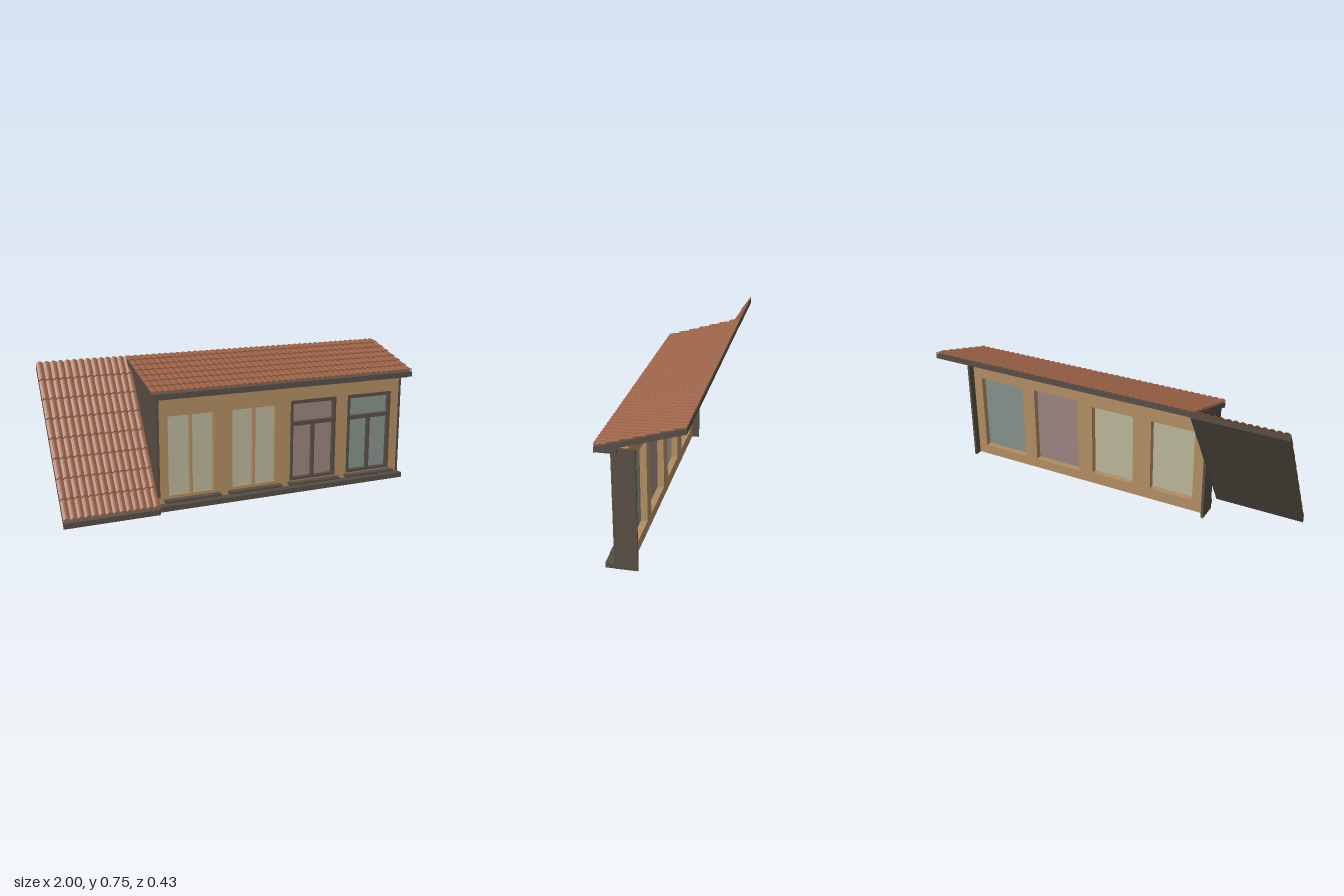
import * as THREE from 'three';

const mat = (name, color, side = THREE.FrontSide) => {
  const m = new THREE.MeshStandardMaterial({ color, side });
  m.name = name;
  return m;
};

export function createModel() {
  const root = new THREE.Group();
  root.name = 'dormer';
  const timber = mat('dark timber', 0x574d44);
  const plaster = mat('ochre plaster', 0xb08c62);
  const clay = mat('clay tile', 0x996045, THREE.DoubleSide);
  const paleGlass = mat('pale green glass', 0xb8b498);
  const mauveGlass = mat('mauve glass', 0x99827d);
  const tealGlass = mat('teal glass', 0x849089);

  const add = (name, geometry, material, parent = root) => {
    const mesh = new THREE.Mesh(geometry, material);
    mesh.name = name;
    parent.add(mesh);
    return mesh;
  };
  // Box given by its limits on each axis
  const box = (name, m, x0, x1, y0, y1, z0, z1, parent) => {
    const g = new THREE.BoxGeometry(x1 - x0, y1 - y0, z1 - z0);
    g.translate((x0 + x1) / 2, (y0 + y1) / 2, (z0 + z1) / 2);
    return add(name, g, m, parent);
  };
  // Side profile of [z, y] points extruded from x0 to x1
  const sideProfile = (name, m, pts, x0, x1, parent) => {
    const shape = new THREE.Shape(pts.map(([z, y]) => new THREE.Vector2(-z, y)));
    const g = new THREE.ExtrudeGeometry(shape, { depth: x1 - x0, bevelEnabled: false });
    g.rotateY(Math.PI / 2);
    g.translate(x0, 0, 0);
    return add(name, g, m, parent);
  };

  // One overlapping course of wavy tiles, swept across x as a thin shell
  const PITCH = 0.034, SEG = 6;
  const tileCourse = (x0, x1, a, b, gap, lift, amp) => {
    const pos = [], index = [];
    const waves = Math.round((x1 - x0) / PITCH), cols = waves * SEG;
    const ring = [[a, gap + lift * 0.25], [a, gap + lift], [b, gap], [b, gap - 0.003]];
    for (let i = 0; i <= cols; i++) {
      const x = x0 + (x1 - x0) * i / cols;
      const h = amp * Math.abs(Math.sin(Math.PI * i / SEG));
      for (const [p, o] of ring) pos.push(x, p.y + o + h, p.x);
      if (i === cols) break;
      for (let k = 0; k < 4; k++) {
        const p = i * 4 + k, q = i * 4 + (k + 1) % 4;
        index.push(p, q, p + 4, q, q + 4, p + 4);
      }
    }
    // End caps
    const e = cols * 4;
    index.push(0, 2, 1, 0, 3, 2, e, e + 1, e + 2, e, e + 2, e + 3);
    const g = new THREE.BufferGeometry();
    g.setAttribute('position', new THREE.Float32BufferAttribute(pos, 3));
    g.setIndex(index);
    const flat = g.toNonIndexed();
    flat.computeVertexNormals();
    return flat;
  };

  // Sloped slab with tile courses; front and back are [z, top y]
  const roof = (name, x0, x1, front, back, thick, courses, gap, lift, amp) => {
    const group = new THREE.Group();
    group.name = name;
    root.add(group);
    const [zf, yf] = front, [zb, yb] = back;
    sideProfile(name + 'Slab', timber, [[zf, yf - thick], [zf, yf], [zb, yb], [zb, yb - thick]], x0, x1, group);
    const start = new THREE.Vector2(zf, yf), end = new THREE.Vector2(zb, yb);
    for (let i = 0; i < courses; i++) {
      const a = start.clone().lerp(end, i / courses);
      const b = start.clone().lerp(end, Math.min(1, (i + 1.06) / courses));
      add(name + 'TileCourse', tileCourse(x0, x1, a, b, gap, lift, amp), clay, group);
    }
  };
  roof('upperRoof', -0.53, 1, [0.194, 0.62], [-0.215, 0.743], 0.027, 7, 0.006, 0.008, 0.006);
  roof('steepRoof', -1, -0.507, [0.217, 0.037], [-0.215, 0.741], 0.028, 8, 0.006, 0.01, 0.009);

  // Wall with four openings
  const openings = [
    { x0: -0.427, x1: -0.175, y0: 0.07, y1: 0.488, glass: paleGlass },
    { x0: -0.068, x1: 0.184, y0: 0.07, y1: 0.488, glass: paleGlass },
    { x0: 0.275, x1: 0.556, y0: 0.06, y1: 0.505, glass: mauveGlass, framed: true },
    { x0: 0.631, x1: 0.912, y0: 0.06, y1: 0.505, glass: tealGlass, framed: true },
  ];
  const rectangle = (Type, x0, x1, y0, y1) => new Type([
    new THREE.Vector2(x0, y0), new THREE.Vector2(x1, y0),
    new THREE.Vector2(x1, y1), new THREE.Vector2(x0, y1)]);
  const wallShape = rectangle(THREE.Shape, -0.497, 0.965, 0.004, 0.605);
  for (const o of openings) wallShape.holes.push(rectangle(THREE.Path, o.x0, o.x1, o.y0, o.y1));
  const wall = new THREE.ExtrudeGeometry(wallShape, { depth: 0.068, bevelEnabled: false });
  wall.translate(0, 0, 0.054);
  add('wall', wall, plaster);

  // Glazing, mullions, frames and sills
  for (const { x0, x1, y0, y1, glass, framed } of openings) {
    const win = new THREE.Group();
    win.name = 'window';
    root.add(win);
    const mid = (x0 + x1) / 2;
    box('glass', glass, x0, x1, y0, y1, 0.088, 0.102, win);
    box('sill', timber, mid - 0.154, mid + 0.154, 0.041, 0.054, 0.12, 0.16, win);
    if (framed) {
      const t = 0.016, z0 = 0.101, z1 = 0.125;
      box('frameSide', timber, x0, x0 + t, y0, y1, z0, z1, win);
      box('frameSide', timber, x1 - t, x1, y0, y1, z0, z1, win);
      box('frameTop', timber, x0 + t, x1 - t, y1 - 0.019, y1, z0, z1, win);
      box('frameBottom', timber, x0 + t, x1 - t, y0, y0 + 0.015, z0, z1, win);
      box('transom', timber, x0 + t, x1 - t, 0.366, 0.387, z0, z1 + 0.003, win);
      box('mullion', timber, mid - 0.007, mid + 0.007, y0 + 0.015, 0.366, z0, z1, win);
    } else {
      box('mullion', plaster, mid - 0.007, mid + 0.007, y0, y1, 0.101, 0.121, win);
    }
  }

  // End posts, plinth and eaves beam
  box('leftPost', timber, 0.965, 0.977, 0.002, 0.61, 0.015, 0.126);
  box('rightPost', timber, -0.511, -0.497, 0.002, 0.61, 0.015, 0.126);
  box('plinth', timber, -0.499, 0.977, 0.003, 0.031, 0.118, 0.168);
  box('eavesBeam', timber, -0.513, 0.985, 0.588, 0.613, 0.095, 0.181);

  // Cheek closing the gap between the two roofs
  sideProfile('cheek', timber, [[0.19, 0.087], [0.19, 0.598], [-0.196, 0.716]], -0.512, -0.498);

  return root;
}
